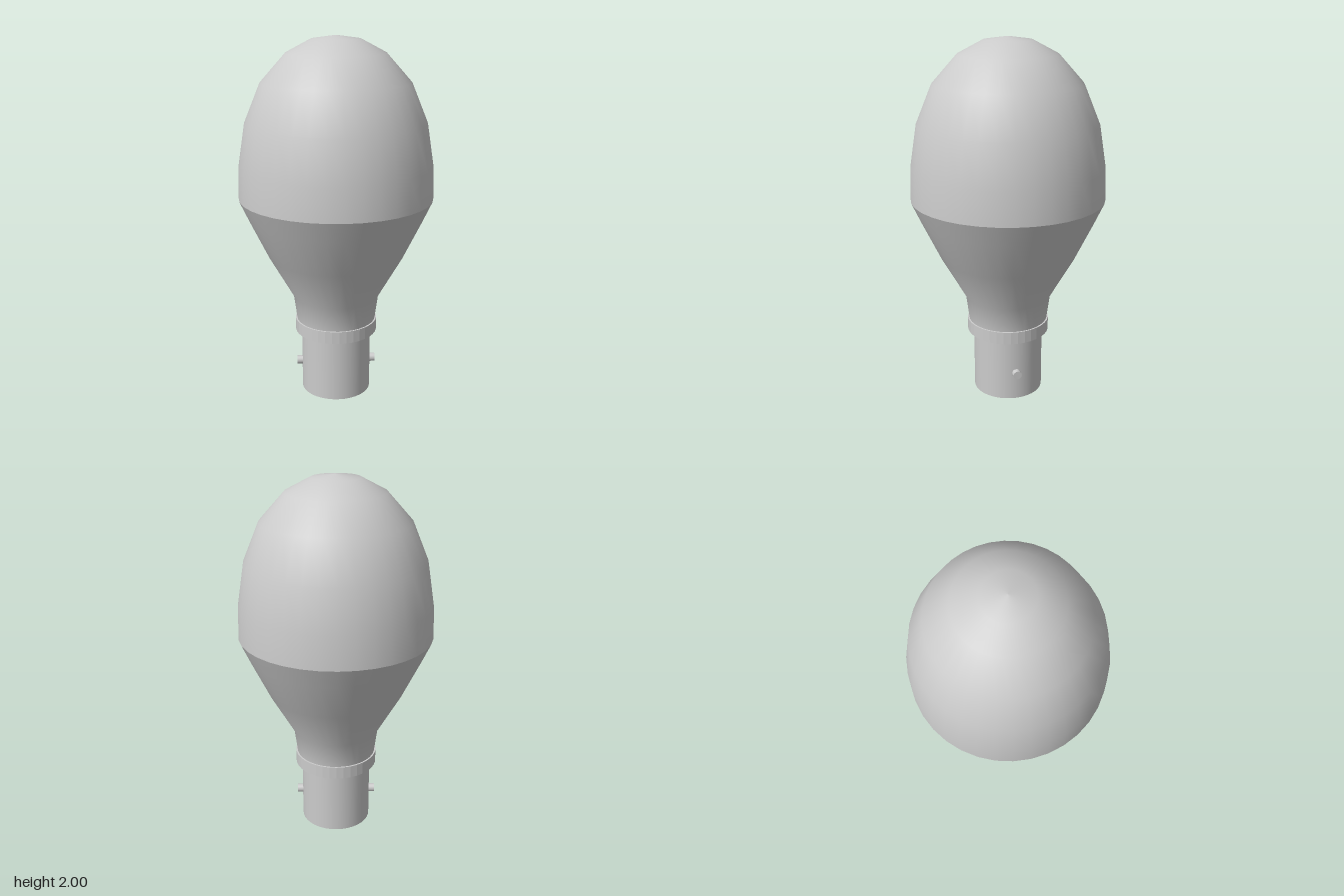
import * as THREE from 'three';

const SIDES = 36;

export function createModel() {
  const group = new THREE.Group();
  const smooth = new THREE.MeshStandardMaterial({ color: 0xcccccc });
  const thin = new THREE.MeshStandardMaterial({ color: 0xcccccc, side: THREE.DoubleSide });
  const faceted = new THREE.MeshStandardMaterial({ color: 0xcccccc, flatShading: true });

  const add = (name, geometry, material, y = 0) => {
    const mesh = new THREE.Mesh(geometry, material);
    mesh.name = name;
    mesh.position.y = y;
    group.add(mesh);
    return mesh;
  };
  // Profiles run from bottom to top as [radius, height]
  const lathe = (profile) =>
    new THREE.LatheGeometry(profile.map(([r, y]) => new THREE.Vector2(r, y)), SIDES);

  // Glass: funnel and dome are separate so the seam between them stays sharp
  add('bulbFunnel', lathe([
    [0.22, 0.42], [0.24, 0.57], [0.375, 0.81], [0.48, 1.03], [0.53, 1.14],
  ]), thin);
  add('bulbDome', lathe([
    [0.53, 1.14], [0.524, 1.32], [0.487, 1.55], [0.4, 1.76],
    [0.266, 1.91], [0.13, 1.982], [0, 2],
  ]), thin);

  // Collar ring and cap
  add('collar', new THREE.CylinderGeometry(0.23, 0.23, 0.07, SIDES), faceted, 0.395);
  add('baseCap', new THREE.CylinderGeometry(0.195, 0.195, 0.38, SIDES), smooth, 0.19);

  // Locking pins on both sides
  for (const side of [1, -1]) {
    const pin = add(side > 0 ? 'leftPin' : 'rightPin',
      new THREE.CylinderGeometry(0.024, 0.024, 0.06, 16), smooth, 0.16);
    pin.rotation.z = -side * Math.PI / 2;
    pin.position.x = side * 0.195;
  }
  return group;
}
